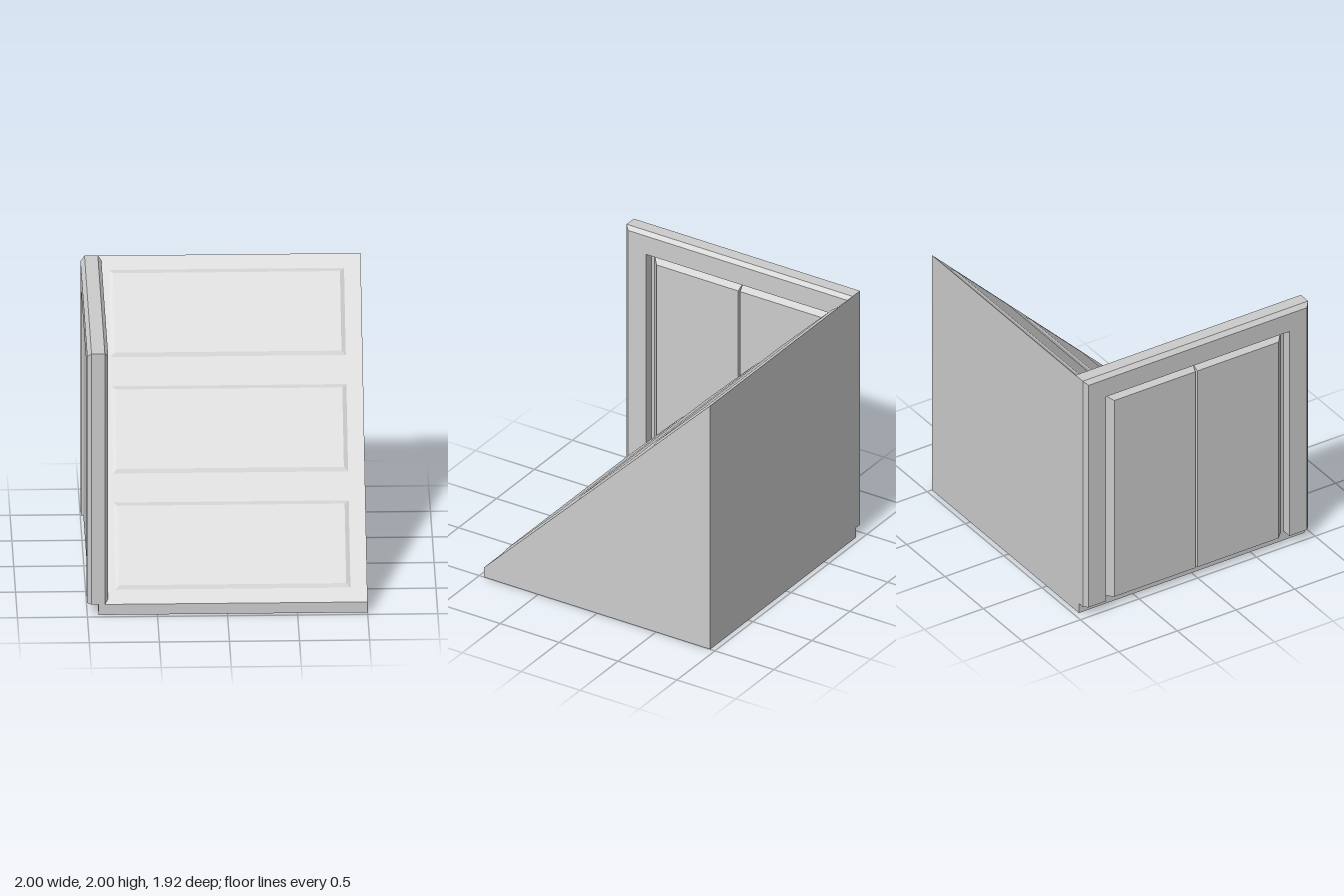
import * as THREE from 'three';

const HALF = 0.96, BASE = 0.08, TOP = 2, X0 = -0.92, X1 = 1;
const WALL_X = -0.925; // middle plane of the doorway

// Flat-faced geometry from a list of quads, each with four [x, y, z] corners
function quads(list) {
  const pos = [];
  for (const [a, b, c, d] of list) pos.push(...a, ...b, ...c, ...a, ...c, ...d);
  const g = new THREE.BufferGeometry();
  g.setAttribute('position', new THREE.Float32BufferAttribute(pos, 3));
  g.computeVertexNormals();
  return g;
}

// Raised panel with bevelled edges; rectangles are [left, bottom, right, top]
function raisedPanel(outer, inner, height) {
  const ring = ([l, b, r, t], z) => [[l, b, z], [r, b, z], [r, t, z], [l, t, z]];
  const o = ring(outer, 0), i = ring(inner, height);
  const list = [i];
  for (let k = 0; k < 4; k++) {
    const n = (k + 1) % 4;
    list.push([o[k], o[n], i[n], i[k]]);
  }
  return quads(list);
}

function shapeFrom(points) {
  return new THREE.Shape(points.map(([x, y]) => new THREE.Vector2(x, y)));
}

export function createModel() {
  const model = new THREE.Group();
  model.name = 'slopedDoorway';
  const grey = new THREE.MeshStandardMaterial({ color: 0xcccccc, side: THREE.DoubleSide });
  grey.name = 'lightGrey';
  const add = (name, geometry, parent = model) => {
    const mesh = new THREE.Mesh(geometry, grey);
    mesh.name = name;
    parent.add(mesh);
    return mesh;
  };

  // Back wall, front kerb and the low rim under the doorway
  add('backWall', quads([[[X1, 0, -HALF], [X0, 0, -HALF], [X0, TOP, -HALF], [X1, TOP, -HALF]]]));
  add('frontKerb', quads([[[X0, 0, HALF], [X1, 0, HALF], [X1, BASE, HALF], [X0, BASE, HALF]]]));
  add('doorSill', quads([[[X0, 0, -HALF], [X0, 0, HALF], [X0, BASE, HALF], [X0, BASE, -HALF]]]));

  // Triangular side wall
  const side = add('sideWall', new THREE.ShapeGeometry(
    shapeFrom([[-HALF, 0], [HALF, 0], [HALF, TOP], [-HALF, BASE]])));
  side.rotation.y = Math.PI / 2;
  side.position.x = X1;

  // Sloping front: a sheet with three openings, each filled by a raised panel
  const slope = new THREE.Group();
  slope.name = 'slopingFront';
  slope.position.y = (BASE + TOP) / 2;
  slope.rotation.x = -Math.PI / 4;
  model.add(slope);
  const L = HALF * Math.SQRT2;
  const sheet = shapeFrom([[X0, -L], [X1, -L], [X1, L], [X0, L]]);
  for (const row of [-1, 0, 1]) {
    const c = row * 0.64 * Math.SQRT2, h = 0.24 * Math.SQRT2, w = 0.03;
    const [l, b, r, t] = [-0.8, c - h, 0.88, c + h];
    sheet.holes.push(shapeFrom([[l, b], [l, t], [r, t], [r, b]]));
    add('slopePanel', raisedPanel([l, b, r, t], [l + w, b + w, r - w, t - w], 0.011), slope);
  }
  add('slopeSheet', new THREE.ShapeGeometry(sheet), slope);

  // Door frame: a chamfered section [inset, x] carried up, across and down
  const section = [[0.18, -1], [0.03, -1], [0, -0.97], [0, -0.875], [0.03, -0.85], [0.18, -0.85]];
  const path = ([o, x]) => [
    [x, BASE, HALF - o], [x, TOP - o, HALF - o], [x, TOP - o, o - HALF], [x, BASE, o - HALF]];
  const frame = [];
  section.forEach((s, k) => {
    const a = path(s), b = path(section[(k + 1) % section.length]);
    for (let j = 0; j < 3; j++) frame.push([a[j], b[j], b[j + 1], a[j + 1]]);
  });
  // Feet of the two frame posts
  for (const end of [0, 3]) {
    const p = section.map((s) => path(s)[end]);
    if (end === 3) p.reverse();
    frame.push([p[0], p[5], p[4], p[1]], [p[1], p[4], p[3], p[2]]);
  }
  add('doorFrame', quads(frame));

  // Thin sheet behind the doors, closing the opening
  add('doorBacking', quads([[[WALL_X, BASE, -0.78], [WALL_X, BASE, 0.78],
    [WALL_X, 1.82, 0.78], [WALL_X, 1.82, -0.78]]]));

  // Pair of bevelled door leaves on both faces of the wall
  for (const face of [-1, 1]) {
    const doors = new THREE.Group();
    doors.name = face < 0 ? 'outerDoors' : 'innerDoors';
    doors.position.x = WALL_X;
    doors.rotation.y = face * Math.PI / 2;
    model.add(doors);
    add('doorLeaf', raisedPanel([0, BASE, 0.755, 1.79], [0.008, BASE, 0.7, 1.75], 0.058), doors);
    add('doorLeaf', raisedPanel([-0.755, BASE, 0, 1.79], [-0.7, BASE, -0.008, 1.75], 0.058), doors);
  }
  return model;
}
